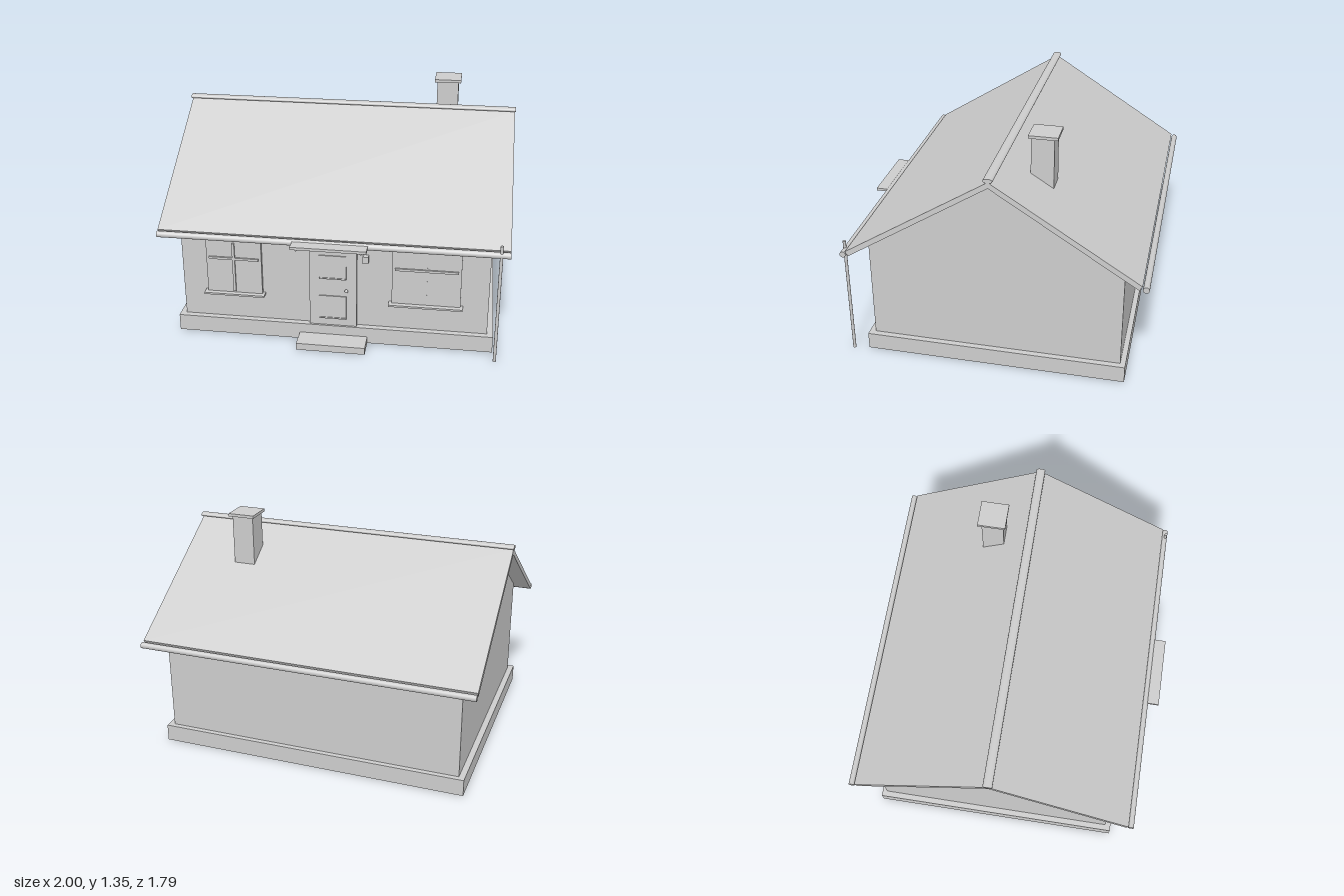
import * as THREE from 'three';

export function createModel() {
  const house = new THREE.Group();
  house.name = 'house';
  const grey = new THREE.MeshStandardMaterial({ color: 0xcccccc });
  grey.name = 'light grey';

  const add = (name, geometry, parent = house) => {
    const mesh = new THREE.Mesh(geometry, grey);
    mesh.name = name;
    parent.add(mesh);
    return mesh;
  };
  // box given by its limits on each axis
  const box = (name, x0, x1, y0, y1, z0, z1, parent) => {
    const mesh = add(name, new THREE.BoxGeometry(x1 - x0, y1 - y0, z1 - z0), parent);
    mesh.position.set((x0 + x1) / 2, (y0 + y1) / 2, (z0 + z1) / 2);
    return mesh;
  };
  // [z, y] outline extruded along x
  const prism = (name, points, x0, x1) => {
    const shape = new THREE.Shape(points.map(([z, y]) => new THREE.Vector2(-z, y)));
    const geometry = new THREE.ExtrudeGeometry(shape, { depth: x1 - x0, bevelEnabled: false });
    geometry.rotateY(Math.PI / 2);
    geometry.translate(x0, 0, 0);
    return add(name, geometry);
  };
  // rod along x
  const rodX = (name, r, x0, x1, y, z) => {
    const geometry = new THREE.CylinderGeometry(r, r, x1 - x0, 16).rotateZ(Math.PI / 2);
    const mesh = add(name, geometry);
    mesh.position.set((x0 + x1) / 2, y, z);
    return mesh;
  };

  // base, walls and gables
  const ridgeZ = -0.03;
  const wallFront = 0.695;
  box('plinth', -0.93, 0.925, 0, 0.1, -0.785, 0.73);
  box('walls', -0.895, 0.89, 0.1, 0.745, -0.755, wallFront);
  prism('gables', [[0.67, 0.745], [ridgeZ, 1.19], [-0.73, 0.745]], -0.895, 0.89);

  // roof slab with both slopes
  prism('roof', [
    [0.797, 0.693], [ridgeZ, 1.215], [-0.857, 0.693],
    [-0.84, 0.666], [ridgeZ, 1.18], [0.78, 0.666],
  ], -0.995, 0.99);
  const ridge = rodX('ridgeCap', 0.027, -1, 0.995, 1.224, ridgeZ);
  ridge.scale.y = 0.48;
  rodX('frontGutter', 0.018, -0.995, 0.99, 0.672, 0.812);
  rodX('backGutter', 0.018, -0.995, 0.99, 0.672, -0.877);
  const pipe = add('downpipe', new THREE.CylinderGeometry(0.009, 0.009, 0.73, 12));
  pipe.position.set(0.938, 0.365, 0.817);

  // chimney
  box('chimneyStack', 0.515, 0.645, 0.98, 1.33, -0.315, -0.185);
  box('chimneyCap', 0.5, 0.66, 1.33, 1.347, -0.337, -0.172);

  // entrance
  box('doorstep', -0.2, 0.2, 0, 0.042, 0.7, 0.855);
  box('door', -0.14, 0.135, 0.1, 0.62, wallFront - 0.01, 0.718);
  for (const y of [0.15, 0.41]) {
    box('doorPanel', -0.083, 0.075, y, y + 0.145, 0.712, 0.724);
    box('doorPanelLedge', -0.083, 0.075, y - 0.004, y + 0.004, 0.712, 0.728);
  }
  add('doorKnob', new THREE.SphereGeometry(0.01, 16, 12)).position.set(0.077, 0.337, 0.73);
  box('porchLamp', 0.17, 0.202, 0.52, 0.562, wallFront - 0.01, 0.725);
  box('canopy', -0.215, 0.21, 0.667, 0.683, wallFront - 0.01, 0.895);
  for (const x of [-0.182, 0.178]) {
    const bracket = add('canopyBracket', new THREE.CylinderGeometry(0.006, 0.006, 0.19, 10).rotateX(Math.PI / 2));
    bracket.position.set(x, 0.661, 0.79);
  }

  // windows with sill and glazing bars
  const windows = [
    { name: 'rightWindow', x0: -0.745, x1: -0.42, bar: 0.015, barZ: 0.727 },
    { name: 'leftWindow', x0: 0.337, x1: 0.73, bar: 0.008, barZ: 0.719 },
  ];
  for (const { name, x0, x1, bar, barZ } of windows) {
    const group = new THREE.Group();
    group.name = name;
    house.add(group);
    const mid = (x0 + x1) / 2;
    box('windowFrame', x0, x1, 0.27, 0.605, wallFront - 0.01, 0.716, group);
    box('verticalBar', mid - bar / 2, mid + bar / 2, 0.285, 0.595, 0.71, barZ, group);
    box('horizontalBar', x0 + 0.017, x1 - 0.017, 0.488, 0.502, 0.71, 0.726, group);
    box('sill', x0 - 0.017, x1 + 0.015, 0.263, 0.274, wallFront - 0.01, 0.745, group);
  }
  return house;
}
